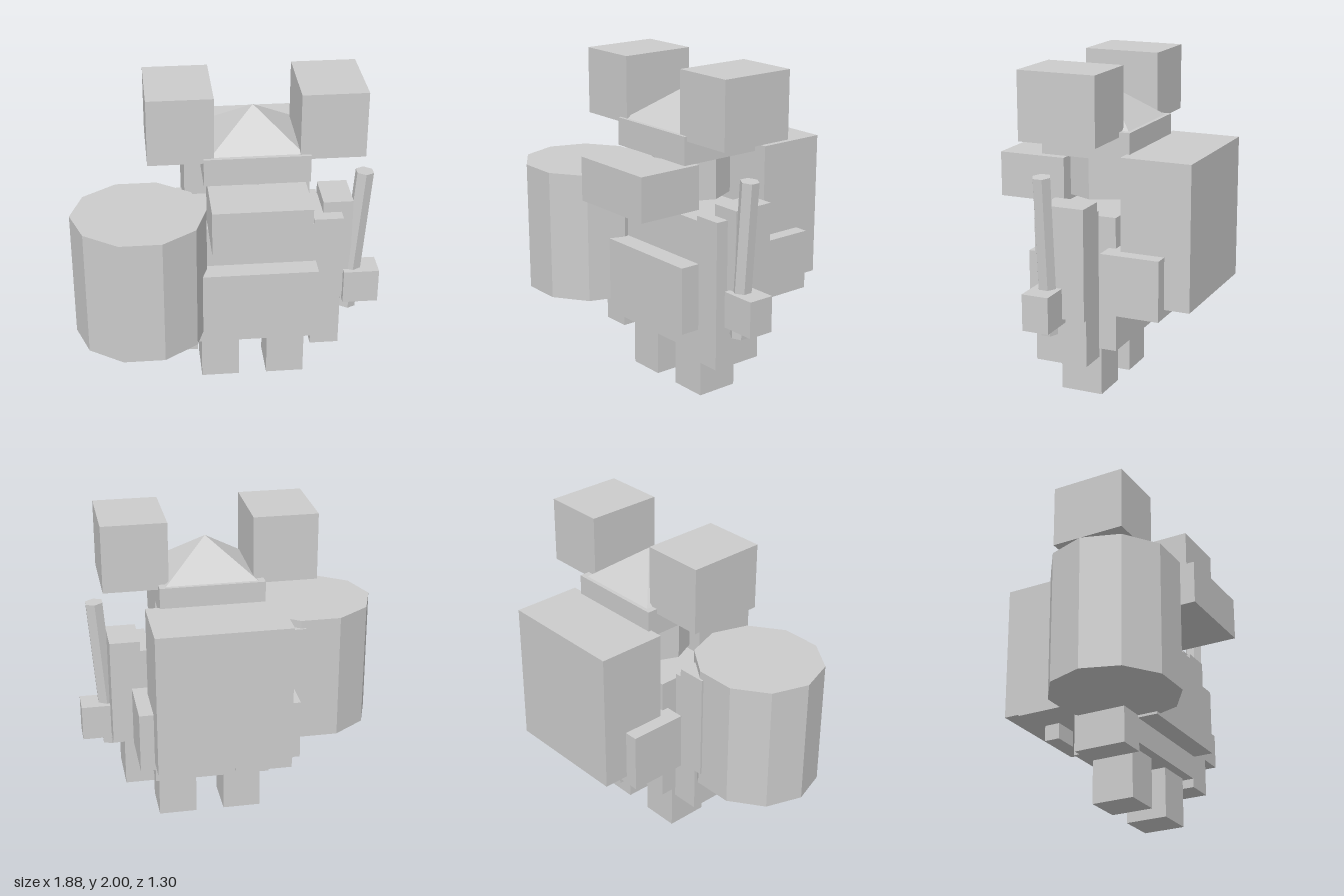
import * as THREE from 'three';

export function createModel() {
  const group = new THREE.Group();
  group.name = 'blockyTraveller';
  const grey = new THREE.MeshStandardMaterial({ color: 0xcccccc });
  grey.name = 'lightGrey';
  grey.flatShading = true;
  const mid = 0.157; // body centre line

  const add = (name, geometry) => {
    const mesh = new THREE.Mesh(geometry, grey);
    mesh.name = name;
    group.add(mesh);
    return mesh;
  };
  // Box given by its limits on each axis
  const box = (name, x0, x1, y0, y1, z0, z1) =>
    add(name, new THREE.BoxGeometry(x1 - x0, y1 - y0, z1 - z0))
      .position.set((x0 + x1) / 2, (y0 + y1) / 2, (z0 + z1) / 2);
  // Matching boxes on both sides of the body, offsets measured from its centre
  const pair = (name, d0, d1, ...yz) => {
    box('left' + name, mid + d0, mid + d1, ...yz);
    box('right' + name, mid - d1, mid - d0, ...yz);
  };
  // Faceted prism with an oval section
  const prism = (name, sides, rx, rz, h, start, x, y, z) => {
    const g = new THREE.CylinderGeometry(1, 1, h, sides, 1, false, start).scale(rx, 1, rz);
    const mesh = add(name, g);
    mesh.position.set(x, y, z);
    return mesh;
  };

  // Body
  box('torso', -0.2, 0.515, 0.31, 1.13, -0.175, 0.26);
  box('frontPouch', -0.21, 0.53, 0.46, 0.87, 0.25, 0.385);
  pair('SidePanel', 0.355, 0.533, 0.255, 1.16, -0.065, 0.26);
  pair('Arm', 0.42, 0.603, 0.56, 1.23, -0.085, 0.18);
  pair('Leg', 0.088, 0.325, 0, 0.31, -0.065, 0.2);

  // Head, snout, ears
  prism('head', 8, 0.265, 0.25, 0.26, 0, mid, 1.325, 0.04);
  box('snout', -0.132, 0.446, 1.165, 1.435, 0.19, 0.608);
  pair('Ear', 0.25, 0.635, 1.595, 2, -0.177, 0.3);

  // Hat: flat brim with a pyramid crown
  box('hatBrim', -0.155, 0.47, 1.455, 1.625, -0.242, 0.318);
  const crown = new THREE.ConeGeometry(Math.SQRT2, 0.21, 4).rotateY(Math.PI / 4).scale(0.273, 1, 0.255);
  add('hatCrown', crown).position.set(mid, 1.73, 0.037);

  // Backpack with a cross bundle and a small peg below
  box('backpack', -0.238, 0.555, 0.63, 1.5, -0.652, -0.222);
  box('bundle', -0.322, 0.64, 0.58, 0.945, -0.495, -0.132);
  box('peg', -0.108, 0.057, 0.48, 0.58, -0.44, -0.34);

  // Barrel carried on the right
  prism('barrel', 10, 0.402, 0.381, 0.805, Math.PI / 2, -0.541, 0.8775, 0.29);

  // Hand holding a leaning staff
  box('leftHand', 0.717, 0.937, 0.525, 0.745, 0.055, 0.22);
  prism('staff', 6, 0.058, 0.056, 0.953, 0, 0.79, 0.938, 0.14).rotation.z = -0.073;

  return group;
}
